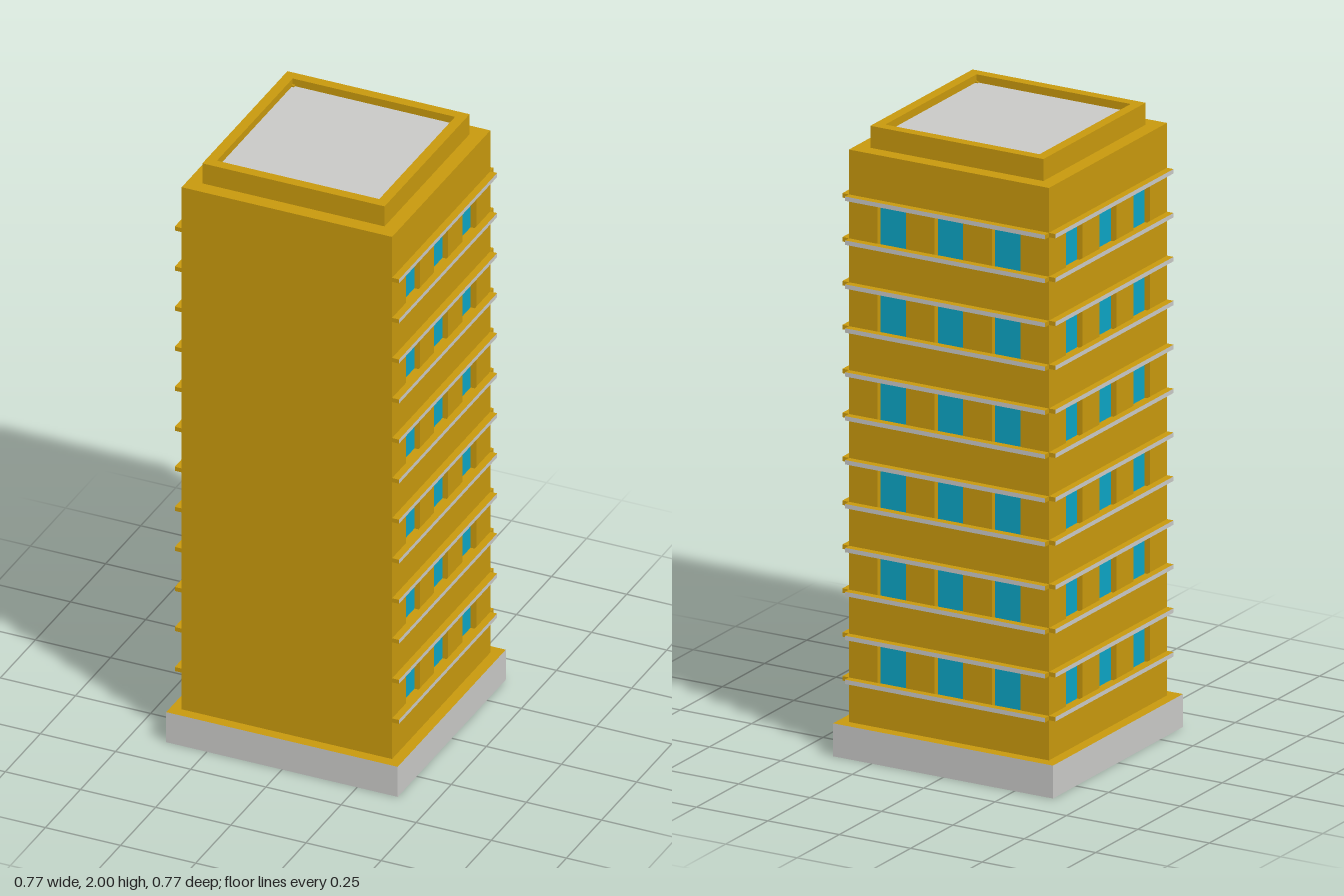
import * as THREE from 'three';

const material = (name, color) => {
  const m = new THREE.MeshStandardMaterial({ color });
  m.name = name;
  return m;
};

// Rectangle outline centred on (x, y)
function rect(Type, x, y, w, h) {
  const p = new Type();
  p.moveTo(x - w / 2, y - h / 2);
  p.lineTo(x + w / 2, y - h / 2);
  p.lineTo(x + w / 2, y + h / 2);
  p.lineTo(x - w / 2, y + h / 2);
  p.closePath();
  return p;
}

export function createModel() {
  const ochre = material('ochre wall', 0xc8990d);
  const grey = material('light grey concrete', 0xc9c9c7);
  const blue = material('blue glass', 0x0ca5c4);
  const model = new THREE.Group();
  model.name = 'towerBlock';

  const add = (parent, name, geometry, mat, x, y, z) => {
    const mesh = new THREE.Mesh(geometry, mat);
    mesh.name = name;
    mesh.position.set(x, y, z);
    parent.add(mesh);
    return mesh;
  };
  const box = (parent, name, w, h, d, mat, x, y, z) =>
    add(parent, name, new THREE.BoxGeometry(w, h, d), mat, x, y, z);

  const half = 0.35, bottom = 0.105, top = 1.93, recess = 0.022;
  const height = top - bottom, middle = (top + bottom) / 2;

  // Plinth: grey sides, ochre top and underside
  box(model, 'plinth', 0.77, bottom, 0.77, [grey, grey, ochre, ochre, grey, grey], 0, bottom / 2, 0);

  // Core, set back behind the three windowed facades, flush at the front
  box(model, 'core', 2 * (half - recess), height, 2 * half - recess, ochre, 0, middle, recess / 2);

  // Facade panel with window openings
  const floors = [0, 1, 2, 3, 4, 5].map((i) => 0.31 + i * 0.28);
  const columns = [-0.2, 0, 0.2];
  const winW = 0.1, winH = 0.14;
  const panel = rect(THREE.Shape, 0, middle, 2 * half, height);
  for (const y of floors)
    for (const x of columns) panel.holes.push(rect(THREE.Path, x, y, winW, winH));
  const panelGeometry = new THREE.ExtrudeGeometry(panel, { depth: recess, bevelEnabled: false });

  // Same facade on the left, right and back
  const sides = { left: Math.PI / 2, back: Math.PI, right: -Math.PI / 2 };
  for (const [side, angle] of Object.entries(sides)) {
    const facade = new THREE.Group();
    facade.name = side + 'Facade';
    facade.rotation.y = angle;
    add(facade, 'wallPanel', panelGeometry, ochre, 0, 0, half - recess);
    for (const y of floors) {
      for (const x of columns)
        box(facade, 'windowPane', winW, winH, 0.004, blue, x, y, half - recess + 0.001);
      // Ledges above and below each window row, with a grey outer edge
      for (const dy of [-0.07, 0.07])
        box(facade, 'ledge', 2 * half, 0.014, 0.023,
          [ochre, ochre, ochre, ochre, grey, ochre], 0, y + dy, half + 0.0115);
    }
    model.add(facade);
  }

  // Parapet ring around the sunken roof
  const ring = rect(THREE.Shape, 0, 0, 0.606, 0.606);
  ring.holes.push(rect(THREE.Path, 0, 0, 0.54, 0.54));
  const parapet = add(model, 'parapet',
    new THREE.ExtrudeGeometry(ring, { depth: 2 - top, bevelEnabled: false }), ochre, 0, top, 0);
  parapet.rotation.x = -Math.PI / 2;

  // Roof deck and small corner blocks
  box(model, 'roofDeck', 0.54, 0.045, 0.54, grey, 0, top + 0.0225, 0);
  for (const x of [-1, 1])
    for (const z of [-1, 1])
      box(model, 'roofCorner', 0.008, 0.006, 0.008, ochre, x * 0.266, top + 0.047, z * 0.266);

  return model;
}
